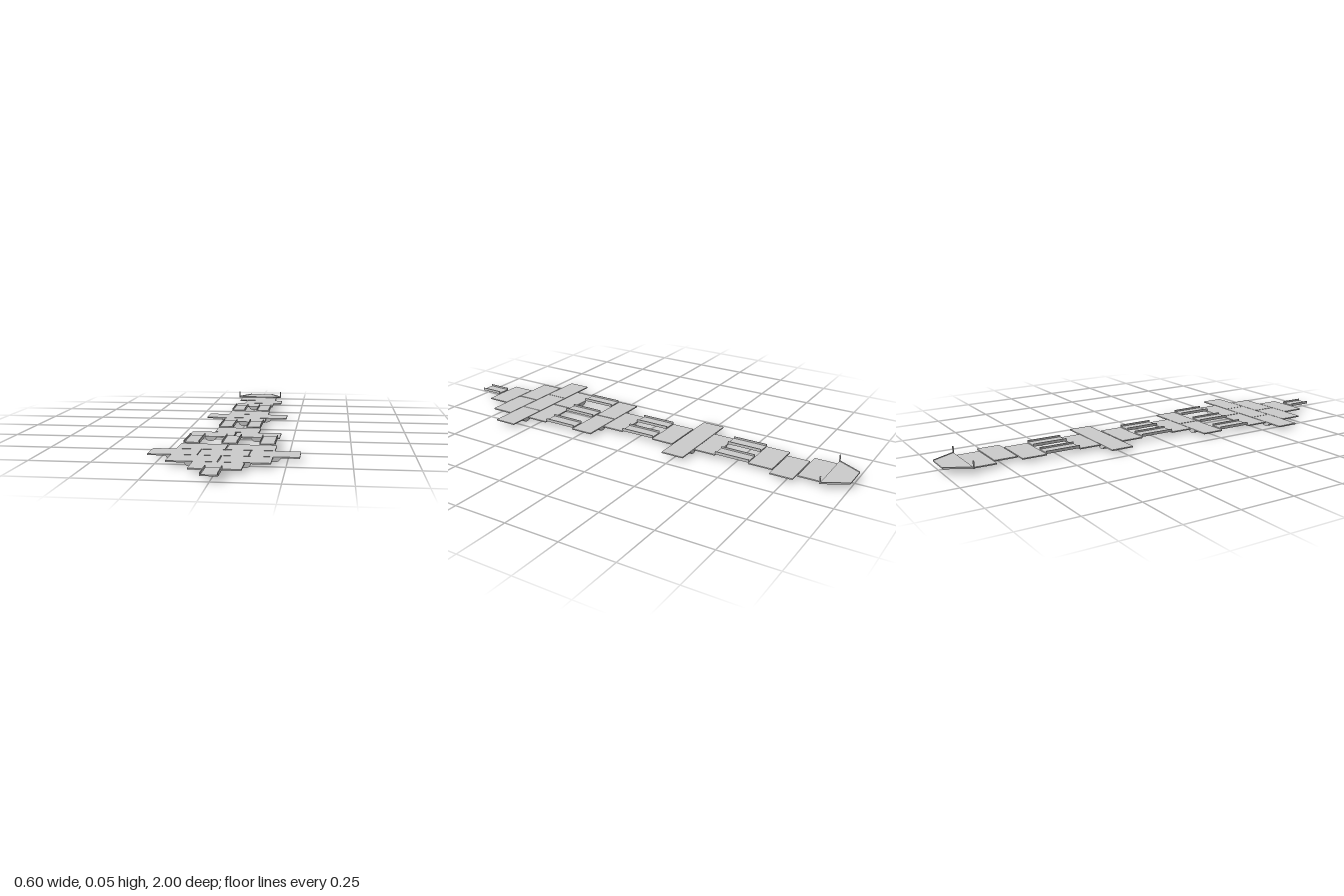
import * as THREE from 'three';

const mat = new THREE.MeshStandardMaterial({ color: 0xcccccc, side: THREE.DoubleSide });
const DECK_Y = 0.015, DECK_TOP = 0.0205, DECK_W = 0.197;

function add(parent, name, geometry, x, y, z) {
  const mesh = new THREE.Mesh(geometry, mat);
  mesh.name = name;
  mesh.position.set(x, y, z);
  parent.add(mesh);
  return mesh;
}

// box given by its extent in x, y and z
function slab(parent, name, x0, x1, y0, y1, z0, z1) {
  return add(parent, name, new THREE.BoxGeometry(x1 - x0, y1 - y0, z1 - z0),
    (x0 + x1) / 2, (y0 + y1) / 2, (z0 + z1) / 2);
}

// flat deck panel carried by one half-round float
function pontoon(x, z0, z1) {
  const g = new THREE.Group();
  g.name = 'pontoon';
  slab(g, 'deckPanel', x - DECK_W / 2, x + DECK_W / 2, DECK_Y, DECK_TOP, z0, z1);
  const half = new THREE.Shape();
  half.absellipse(0, 0, 0.024, DECK_Y, Math.PI, Math.PI * 2, false);
  half.closePath();
  const float = new THREE.ExtrudeGeometry(half, { depth: z1 - z0, bevelEnabled: false, curveSegments: 16 });
  add(g, 'float', float, x, DECK_Y, z0);
  return g;
}

// narrow walkway with a raised kerb along both sides
function gangway(x, z0, z1) {
  const g = new THREE.Group();
  g.name = 'gangway';
  const w = 0.033, t = 0.004;
  slab(g, 'walkway', x - w, x + w, DECK_TOP, 0.0255, z0, z1);
  for (const s of [-1, 1]) {
    const edge = x + s * (w - t / 2);
    slab(g, 'kerb', edge - t / 2, edge + t / 2, 0.0255, 0.0335, z0, z1);
  }
  return g;
}

// tapered landing at the far end, with kerbs on the slanted sides and two posts
function landing() {
  const g = new THREE.Group();
  g.name = 'landing';
  const front = 0.121, back = 0.06, z0 = -1, z1 = -0.893;
  const shape = new THREE.Shape([[-front, -z1], [front, -z1], [back, -z0], [-back, -z0]]
    .map(([x, y]) => new THREE.Vector2(x, y)));
  const plate = new THREE.ExtrudeGeometry(shape, { depth: 0.005, bevelEnabled: false });
  plate.rotateX(-Math.PI / 2);
  add(g, 'landingPlate', plate, 0, DECK_TOP, 0);
  const dx = front - back, dz = z1 - z0;
  for (const s of [-1, 1]) {
    const kerb = add(g, 'slantedKerb', new THREE.BoxGeometry(0.003, 0.004, Math.hypot(dx, dz)),
      s * ((front + back) / 2 - 0.0015), 0.0265, (z0 + z1) / 2);
    kerb.rotation.y = s * Math.atan2(dx, dz);
    slab(g, 'post', s * 0.119 - 0.0025, s * 0.119 + 0.0025, DECK_TOP, 0.0545, z1 - 0.003, z1 + 0.002);
  }
  return g;
}

export function createModel() {
  const model = new THREE.Group();
  model.name = 'floatingDock';

  // rows of pontoons: panel centres, then the z range of the row
  const single = [-0.003], pair = [-0.105, 0.097];
  const rows = [
    [[0], 0.782, 0.889],
    [pair, 0.672, 0.779],
    [[-0.2, 0, 0.2], 0.563, 0.669],
    [pair, 0.453, 0.559],
    [pair, 0.188, 0.293],
    [single, 0.078, 0.185],
    [single, -0.191, -0.085],
    [[-0.1, 0.096], -0.301, -0.196],
    [single, -0.405, -0.304],
    [single, -0.675, -0.565],
    [[0.037], -0.783, -0.68],
    [single, -0.893, -0.788],
  ];
  for (const [centres, z0, z1] of rows)
    for (const x of centres) model.add(pontoon(x, z0, z1));

  // gangways bridging the gaps between rows
  const bridges = [
    [[-0.002], 0.89, 1],
    [[-0.161, -0.002, 0.155], 0.293, 0.453],
    [[-0.066, 0.06], -0.085, 0.078],
    [[-0.066, 0.06], -0.565, -0.405],
  ];
  for (const [centres, z0, z1] of bridges)
    for (const x of centres) model.add(gangway(x, z0, z1));

  model.add(landing());
  return model;
}
